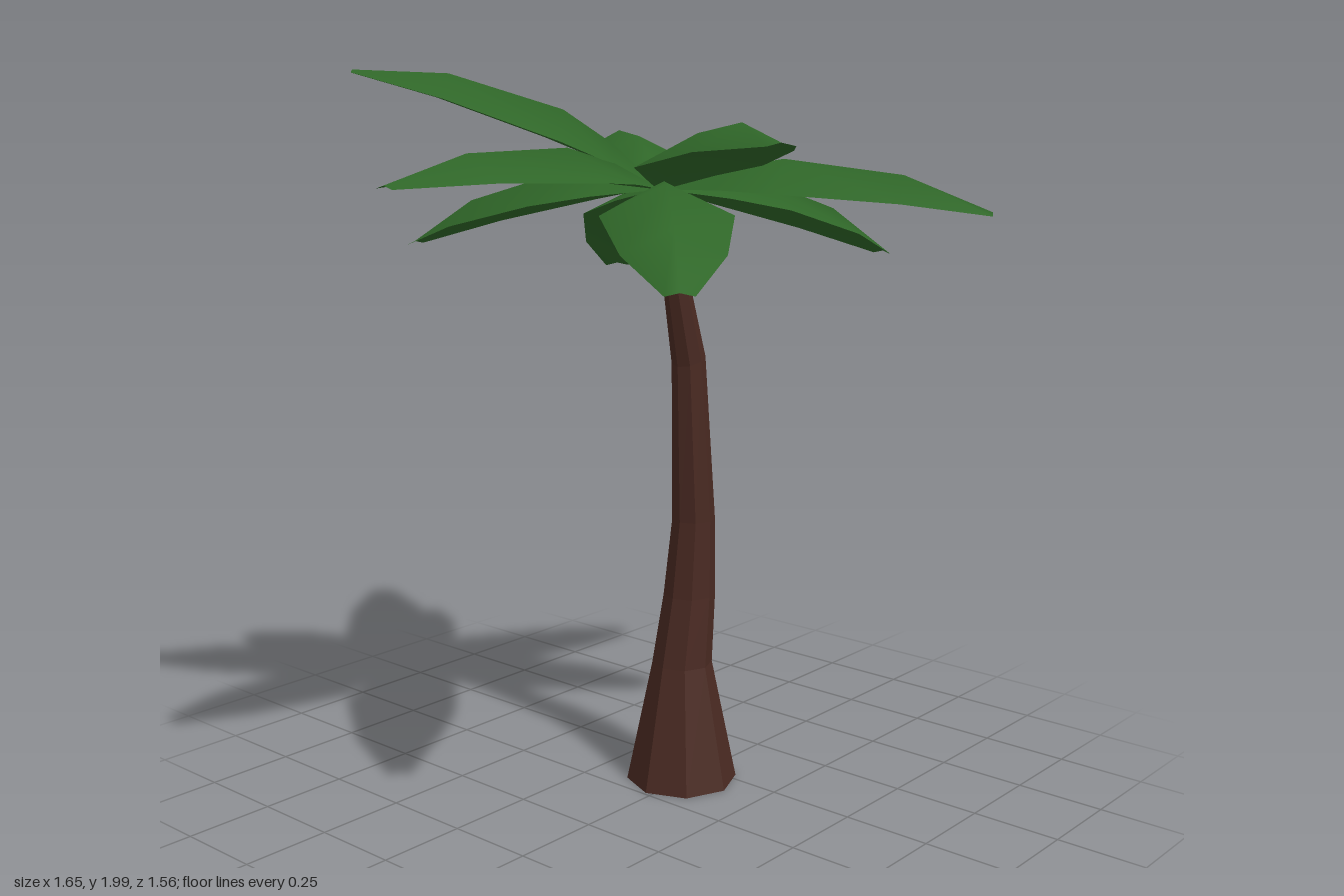
import * as THREE from 'three';

const trunkMaterial = new THREE.MeshStandardMaterial({ color: 0x4a2a22, flatShading: true });
const leafMaterial = new THREE.MeshStandardMaterial({ color: 0x2f6628, side: THREE.DoubleSide });

// Trunk rings: centre x, y, z, radius, tilt (rise per unit of x)
const RINGS = [
  [0.165, 0, -0.02, 0.157, 0],
  [0.165, 0.35, -0.02, 0.085, 0],
  [0.184, 0.55, -0.01, 0.073, 0],
  [0.185, 0.77, 0.003, 0.06, 0],
  [0.145, 1.225, 0.015, 0.046, 0.3],
  [0.012, 1.7, 0.028, 0.022, 0.3],
];

// Leaf tips; every leaf grows from the crown
const CROWN = new THREE.Vector3(0.01, 1.69, 0.03);
const TIPS = [
  [-0.13, 1.515, -0.775],
  [0.52, 1.765, -0.63],
  [0.52, 1.415, -0.585],
  [0.815, 1.48, 0.19],
  [0.44, 1.64, 0.76],
  [-0.425, 1.835, 0.74],
  [-0.59, 1.52, 0.6],
  [-0.82, 1.73, -0.085],
  [-0.595, 1.99, -0.46],
];

// Leaf cross-sections: share of length, half width, rise of the spine, drop of the edges
const SECTIONS = [
  [0, 0.008, 0, 0],
  [0.19, 0.095, 0.065, 0.05],
  [0.37, 0.165, 0.1, 0.08],
  [0.73, 0.122, 0.08, 0.065],
  [1, 0.034, 0.003, 0.008],
];

// Eight-sided cylinder bent and tapered ring by ring
function makeTrunk() {
  const steps = RINGS.length - 1;
  const geometry = new THREE.CylinderGeometry(1, 1, steps, 8, steps);
  const p = geometry.attributes.position;
  for (let i = 0; i < p.count; i++) {
    const [x, y, z, r, tilt] = RINGS[Math.round(p.getY(i) + steps / 2)];
    const dx = p.getX(i) * r;
    p.setXYZ(i, x + dx, y + dx * tilt, z + p.getZ(i) * r);
  }
  geometry.computeVertexNormals();
  const trunk = new THREE.Mesh(geometry, trunkMaterial);
  trunk.name = 'trunk';
  return trunk;
}

// Arched leaf with a raised spine, three points per section
function makeLeaf(tip) {
  const along = new THREE.Vector3(...tip).sub(CROWN);
  const side = new THREE.Vector3(along.z, 0, -along.x).normalize();
  const up = along.clone().cross(side).normalize();
  const positions = [];
  const index = [];
  SECTIONS.forEach(([t, width, rise, drop], row) => {
    for (const s of [-1, 0, 1]) {
      const point = CROWN.clone()
        .addScaledVector(along, t)
        .addScaledVector(side, s * width)
        .addScaledVector(up, rise - Math.abs(s) * drop);
      positions.push(point.x, point.y, point.z);
    }
    if (row === 0) return;
    for (let k = 0; k < 2; k++) {
      const a = (row - 1) * 3 + k;
      index.push(a, a + 1, a + 3, a + 1, a + 4, a + 3);
    }
  });
  const geometry = new THREE.BufferGeometry();
  geometry.setAttribute('position', new THREE.Float32BufferAttribute(positions, 3));
  geometry.setIndex(index);
  geometry.computeVertexNormals();
  const leaf = new THREE.Mesh(geometry, leafMaterial);
  leaf.name = 'leaf';
  return leaf;
}

export function createModel() {
  const palm = new THREE.Group();
  palm.name = 'palmTree';
  const crown = new THREE.Group();
  crown.name = 'leafCrown';
  for (const tip of TIPS) crown.add(makeLeaf(tip));
  palm.add(makeTrunk(), crown);
  return palm;
}
